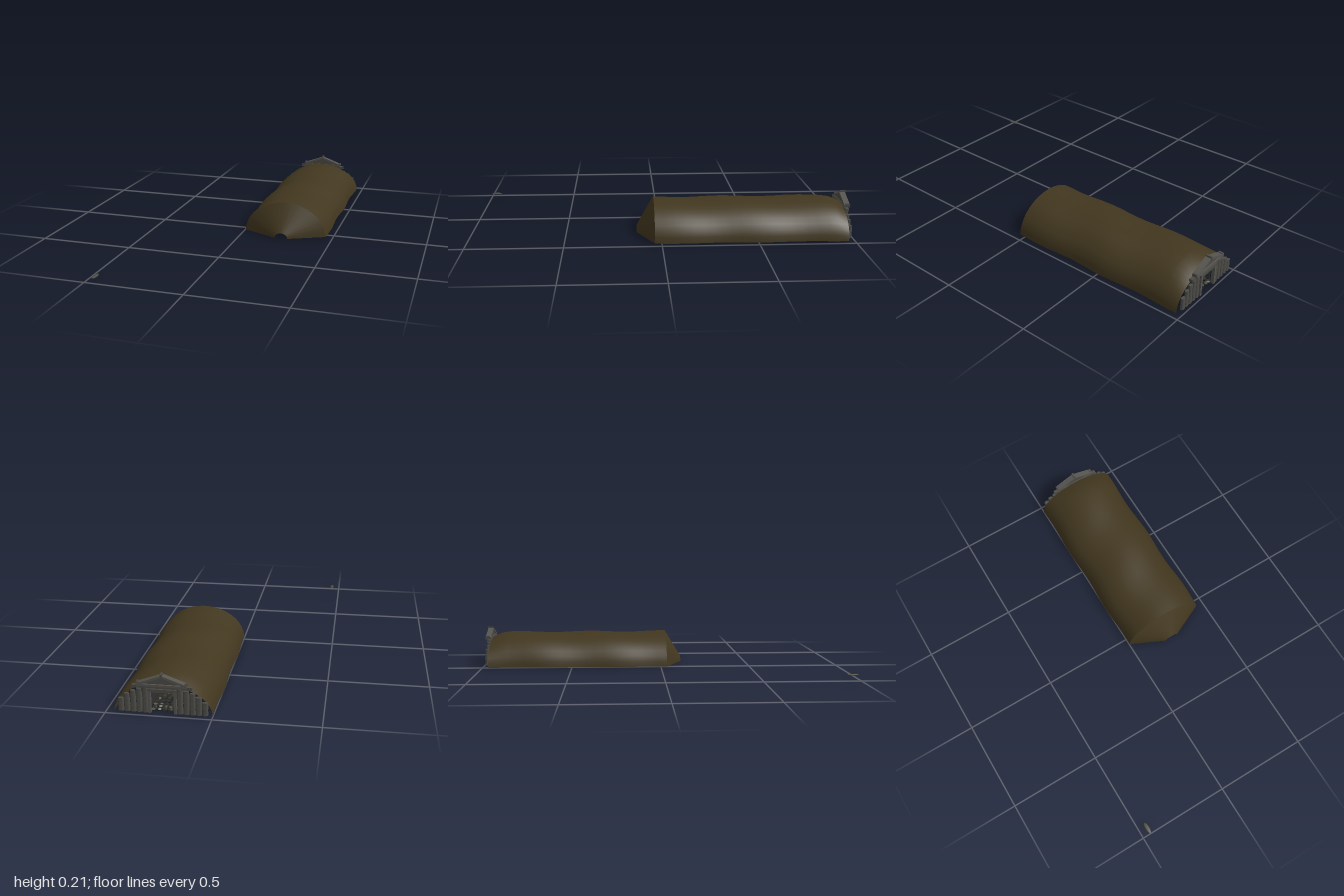
import * as THREE from 'three';
import { toCreasedNormals } from 'three/addons/utils/BufferGeometryUtils.js';

export function createModel() {
  const model = new THREE.Group();
  model.name = 'barrow';
  const mat = (name, color, side = THREE.FrontSide) => {
    const m = new THREE.MeshStandardMaterial({ color, side });
    m.name = name;
    return m;
  };
  const earth = mat('earth', 0x42371f, THREE.DoubleSide);
  const stone = mat('stone', 0x4b4a45);
  const paleStone = mat('pale stone', 0x55544f);
  const dark = mat('dark lining', 0x303032, THREE.DoubleSide);
  const cobble = mat('cobble', 0x2c2c27);
  const pebbleMat = mat('pebble', 0x4d4c40);

  const CX = 0.23;
  let seed = 7;
  const rnd = () => (seed = (seed * 16807) % 2147483647) / 2147483647;

  const add = (parent, name, geo, material, x = 0, y = 0, z = 0) => {
    const m = new THREE.Mesh(geo, material);
    m.name = name;
    m.position.set(x, y, z);
    parent.add(m);
    return m;
  };

  // Surface through a list of equally long rings
  const loft = (rings) => {
    const n = rings[0].length, idx = [];
    for (let i = 0; i < rings.length - 1; i++) {
      for (let j = 0; j < n - 1; j++) {
        const a = i * n + j, b = a + n;
        idx.push(a, a + 1, b, b, a + 1, b + 1);
      }
    }
    const g = new THREE.BufferGeometry();
    g.setAttribute('position', new THREE.Float32BufferAttribute(rings.flat(2), 3));
    g.setIndex(idx);
    g.computeVertexNormals();
    return g;
  };
  // Half-ellipse ring running from +x over the top to -x
  const SEG = 18;
  const arch = (rx, ry, z, wobble = 0) => {
    const ring = [];
    for (let j = 0; j <= SEG; j++) {
      const a = (j / SEG) * Math.PI;
      const k = 1 + wobble * Math.sin(z * 15 + 2.2 * Math.cos(a) + 1);
      ring.push([CX + rx * k * Math.cos(a), ry * k * Math.sin(a), z]);
    }
    return ring;
  };

  // Long earth mound, dipping at the entrance end
  const rings = [];
  for (let i = 0; i <= 20; i++) {
    const z = 0.035 - (i / 20) * 1.005;
    const dip = Math.max(0, (-0.88 - z) / 0.09);
    rings.push(arch(0.23, 0.174 - 0.024 * dip * dip, z, 0.02));
  }
  add(model, 'mound', loft(rings), earth);

  // Tapered end with a small opening at the ground
  add(model, 'moundEnd', loft([arch(0.036, 0.028, 0.125), rings[0]]), earth);

  // Passage lining
  const passage = new THREE.Group();
  passage.name = 'passage';
  model.add(passage);
  const LEN = 1.0, MID = -0.46, HALF = 0.068;
  for (const s of [-1, 1]) {
    add(passage, 'passageWall', new THREE.BoxGeometry(0.006, 0.11, LEN), dark, CX + s * HALF, 0.066, MID);
  }
  add(passage, 'passageRoof', new THREE.BoxGeometry(HALF * 2, 0.006, LEN), dark, CX, 0.121, MID);

  // Cobbled floor
  const cobbleGeo = new THREE.DodecahedronGeometry(1, 0);
  for (let r = 0; r < 36; r++) {
    for (let c = 0; c < 5; c++) {
      const m = add(passage, 'cobble', cobbleGeo, cobble,
        CX + (c - 2) * 0.026 + (rnd() - 0.5) * 0.008, 0.015 + rnd() * 0.004, 0.03 - r * 0.0283 + (rnd() - 0.5) * 0.008);
      m.scale.set(0.013 + rnd() * 0.004, 0.006 + rnd() * 0.003, 0.014 + rnd() * 0.004);
      m.rotation.y = rnd() * 3;
    }
  }

  // Stone entrance
  const entrance = new THREE.Group();
  entrance.name = 'entrance';
  entrance.position.set(CX, 0, -0.979);
  model.add(entrance);

  // Pillar built of stacked drums
  const pillar = (x, height, radius) => {
    const g = new THREE.Group();
    g.name = 'pillar';
    const count = Math.max(2, Math.round(height / 0.026));
    const h = height / count;
    for (let i = 0; i < count; i++) {
      const r = radius * (0.88 + 0.12 * rnd());
      const geo = toCreasedNormals(new THREE.CylinderGeometry(r * 0.92, r, h, 9), 0.8);
      add(g, 'drum', geo, stone, x, 0.01 + h * (i + 0.5), 0).scale.z = 0.7;
    }
    entrance.add(g);
  };
  for (const s of [-1, 1]) {
    for (let i = 0; i < 5; i++) {
      const x = 0.081 + i * 0.029;
      pillar(s * x, Math.min(0.125, 0.146 * Math.sqrt(1 - (x / 0.23) ** 2) - 0.012), 0.016);
    }
    // Door jambs and end blocks of the gable
    add(entrance, 'doorJamb', new THREE.BoxGeometry(0.012, 0.112, 0.018), paleStone, s * 0.06, 0.066, -0.004);
    add(entrance, 'gableKnob', new THREE.BoxGeometry(0.011, 0.014, 0.022), stone, s * 0.113, 0.158, -0.004);
    // Sloping gable beam
    const beam = add(entrance, 'gableBeam', new THREE.BoxGeometry(0.125, 0.01, 0.03), paleStone, s * 0.058, 0.174, -0.003);
    beam.rotation.z = -s * 0.35;
  }
  add(entrance, 'lintel', new THREE.BoxGeometry(0.28, 0.014, 0.018), stone, 0, 0.138, 0.002);
  add(entrance, 'upperLintel', new THREE.BoxGeometry(0.23, 0.01, 0.028), paleStone, 0, 0.15, -0.004);
  add(entrance, 'doorLintel', new THREE.BoxGeometry(0.135, 0.016, 0.02), stone, 0, 0.122, -0.003);
  add(entrance, 'ridgeKnob', new THREE.BoxGeometry(0.01, 0.016, 0.03), stone, 0, 0.199, -0.005);

  // Gable infill
  const tri = new THREE.Shape([[-0.112, 0.15], [0.112, 0.15], [0, 0.192]].map((p) => new THREE.Vector2(...p)));
  const infill = new THREE.ExtrudeGeometry(tri, { depth: 0.018, bevelEnabled: false });
  add(entrance, 'gableInfill', infill, stone, 0, 0, -0.01);

  // Lone flat pebble
  const pebble = add(model, 'pebble', new THREE.SphereGeometry(1, 12, 8), pebbleMat, -0.456, 0.025, 0.968);
  pebble.scale.set(0.011, 0.004, 0.032);

  return model;
}
